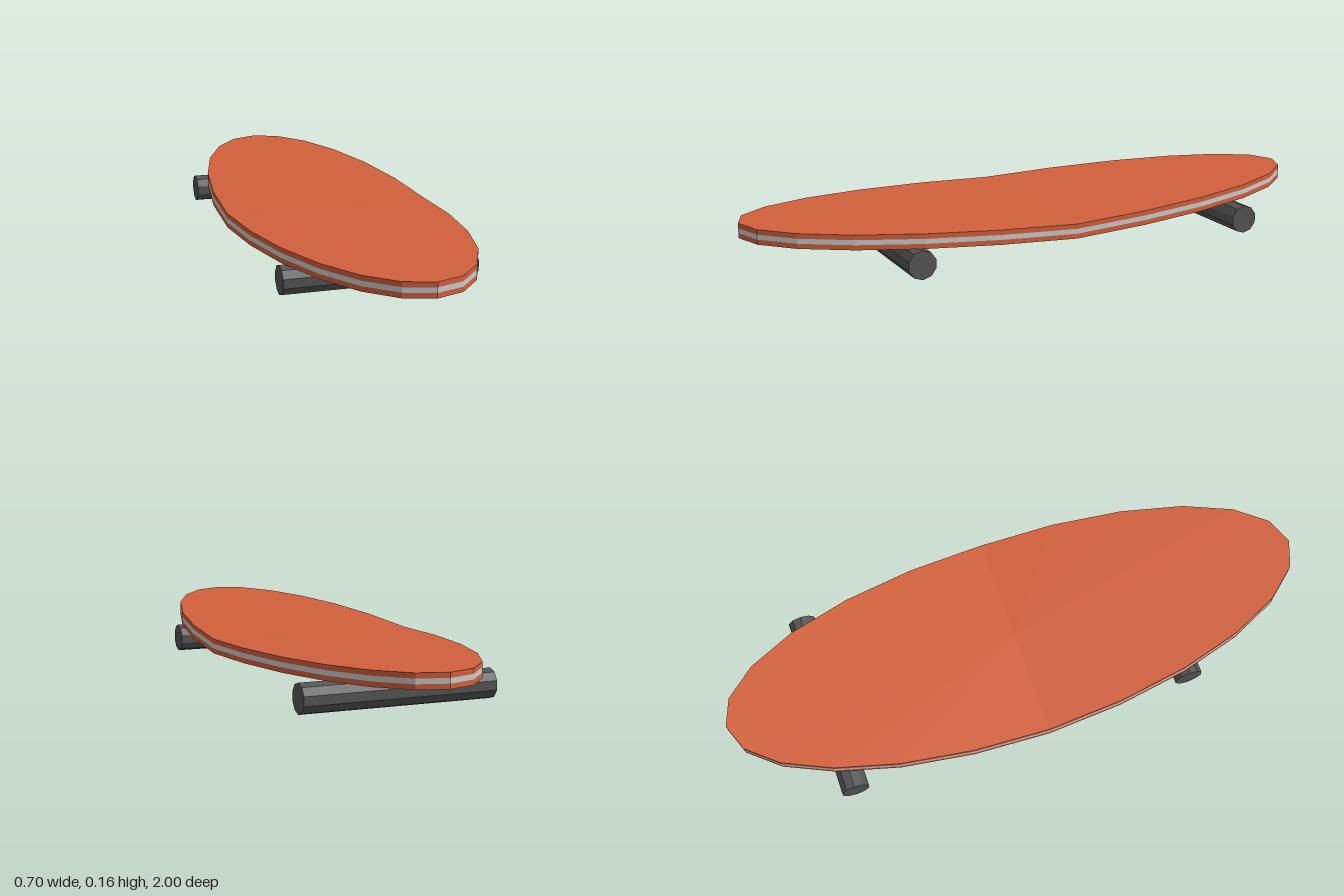
import * as THREE from 'three';

const SIDES = 24;        // facets around the oval deck
const PLY = 0.016;       // thickness of one deck layer
const RISE = 0.039;      // how far nose and tail lift above the middle
const BASE = 0.075;      // underside height at the middle

const paint = (color) => new THREE.MeshStandardMaterial({ color, flatShading: true });

// One oval ply, folded upward from the middle toward both ends
function deckLayer(name, index, material) {
  const geometry = new THREE.CylinderGeometry(1, 1, PLY, SIDES);
  geometry.scale(0.35, 1, 1);
  geometry.translate(0, BASE + PLY * (index + 0.5), 0);
  const p = geometry.attributes.position;
  for (let i = 0; i < p.count; i++) p.setY(i, p.getY(i) + RISE * Math.abs(p.getZ(i)));
  geometry.computeVertexNormals();
  const mesh = new THREE.Mesh(geometry, material);
  mesh.name = name;
  return mesh;
}

// Ten-sided roller lying across the board, with a corner pointing straight up
function roller(name, z, material) {
  const radius = 0.0475;
  const geometry = new THREE.CylinderGeometry(radius, radius, 0.63, 10);
  geometry.rotateZ(Math.PI / 2).rotateX(Math.PI / 2);
  const mesh = new THREE.Mesh(geometry, material);
  mesh.name = name;
  mesh.position.set(0, radius, z);
  return mesh;
}

export function createModel() {
  const model = new THREE.Group();
  model.name = 'skateboard';

  const orange = paint(0xd2603c);
  const grey = paint(0xcccccc);
  const dark = paint(0x555555);

  // Laminated deck
  const deck = new THREE.Group();
  deck.name = 'deck';
  deck.add(
    deckLayer('bottomPly', 0, orange),
    deckLayer('middlePly', 1, grey),
    deckLayer('topPly', 2, orange),
  );
  model.add(deck);

  // Front and rear rollers
  model.add(roller('frontRoller', 0.517, dark), roller('rearRoller', -0.665, dark));
  return model;
}
